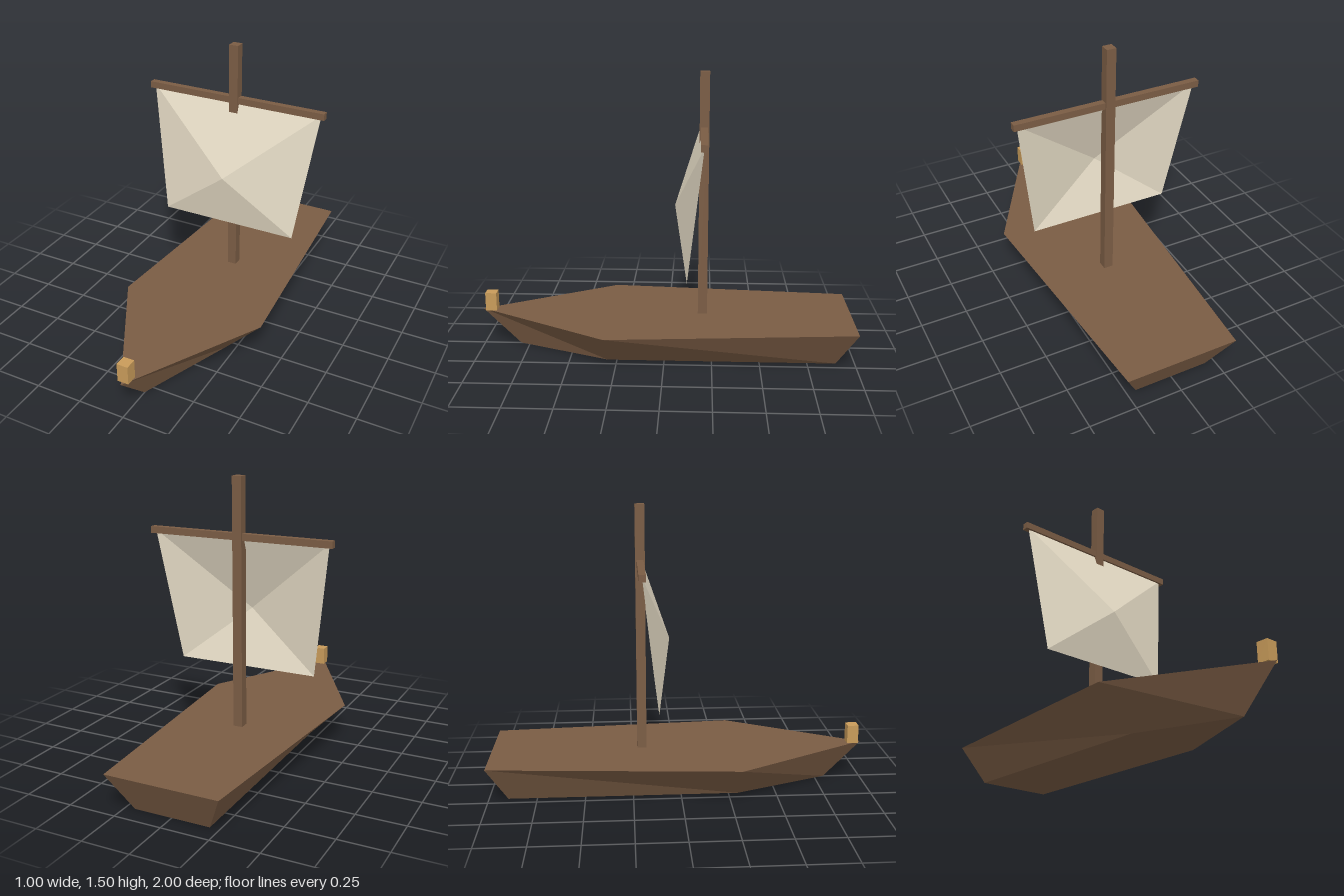
import * as THREE from 'three';

const material = (color, side = THREE.FrontSide) =>
  new THREE.MeshStandardMaterial({ color, side, flatShading: true });

function box(name, size, position, mat) {
  const mesh = new THREE.Mesh(new THREE.BoxGeometry(...size), mat);
  mesh.position.set(...position);
  mesh.name = name;
  return mesh;
}

// Facetted surface from shared corners and triangles
function facets(name, corners, triangles, mat) {
  const indexed = new THREE.BufferGeometry();
  indexed.setAttribute('position', new THREE.Float32BufferAttribute(corners.flat(), 3));
  indexed.setIndex(triangles.flat());
  const geometry = indexed.toNonIndexed();
  geometry.computeVertexNormals();
  const mesh = new THREE.Mesh(geometry, mat);
  mesh.name = name;
  return mesh;
}

export function createModel() {
  const boat = new THREE.Group();
  boat.name = 'sailingBoat';
  const wood = material(0x7a5c44);

  // Hull: five-sided keel outline joined to a wider deck outline
  const keel = [[0.2, -0.9], [0.2, 0.3], [0, 0.8], [-0.2, 0.3], [-0.2, -0.9]];
  const deck = [[0.3, -1], [0.4, 0.3], [0, 1], [-0.4, 0.3], [-0.3, -1]];
  const n = keel.length;
  const corners = [
    ...keel.map(([x, z]) => [x, 0, z]),
    ...deck.map(([x, z]) => [x, 0.2, z]),
  ];
  const triangles = [];
  for (let i = 0; i < n; i++) {
    const j = (i + 1) % n;
    triangles.push([i, n + i, n + j], [i, n + j, j]);
  }
  for (let i = 1; i < n - 1; i++) {
    triangles.push([0, i, i + 1], [n, n + i + 1, n + i]);
  }
  boat.add(facets('hull', corners, triangles, wood));

  // Mast, yard and bow post
  boat.add(box('mast', [0.05, 1.3, 0.05], [0, 0.85, -0.2], wood));
  boat.add(box('yard', [1, 0.035, 0.035], [0, 1.2, -0.2], wood));
  boat.add(box('bowPost', [0.06, 0.1, 0.06], [0, 0.25, 0.95], material(0xc89b5a)));

  // Billowing sail: four triangles around a forward centre point
  const sail = [
    [-0.48, 1.2, -0.2], [-0.38, 0.5, -0.12], [0.38, 0.5, -0.12], [0.48, 1.2, -0.2],
    [0, 0.8, -0.05],
  ];
  const panels = [0, 1, 2, 3].map((i) => [i, (i + 1) % 4, 4]);
  boat.add(facets('sail', sail, panels, material(0xe6dcc6, THREE.DoubleSide)));

  return boat;
}
